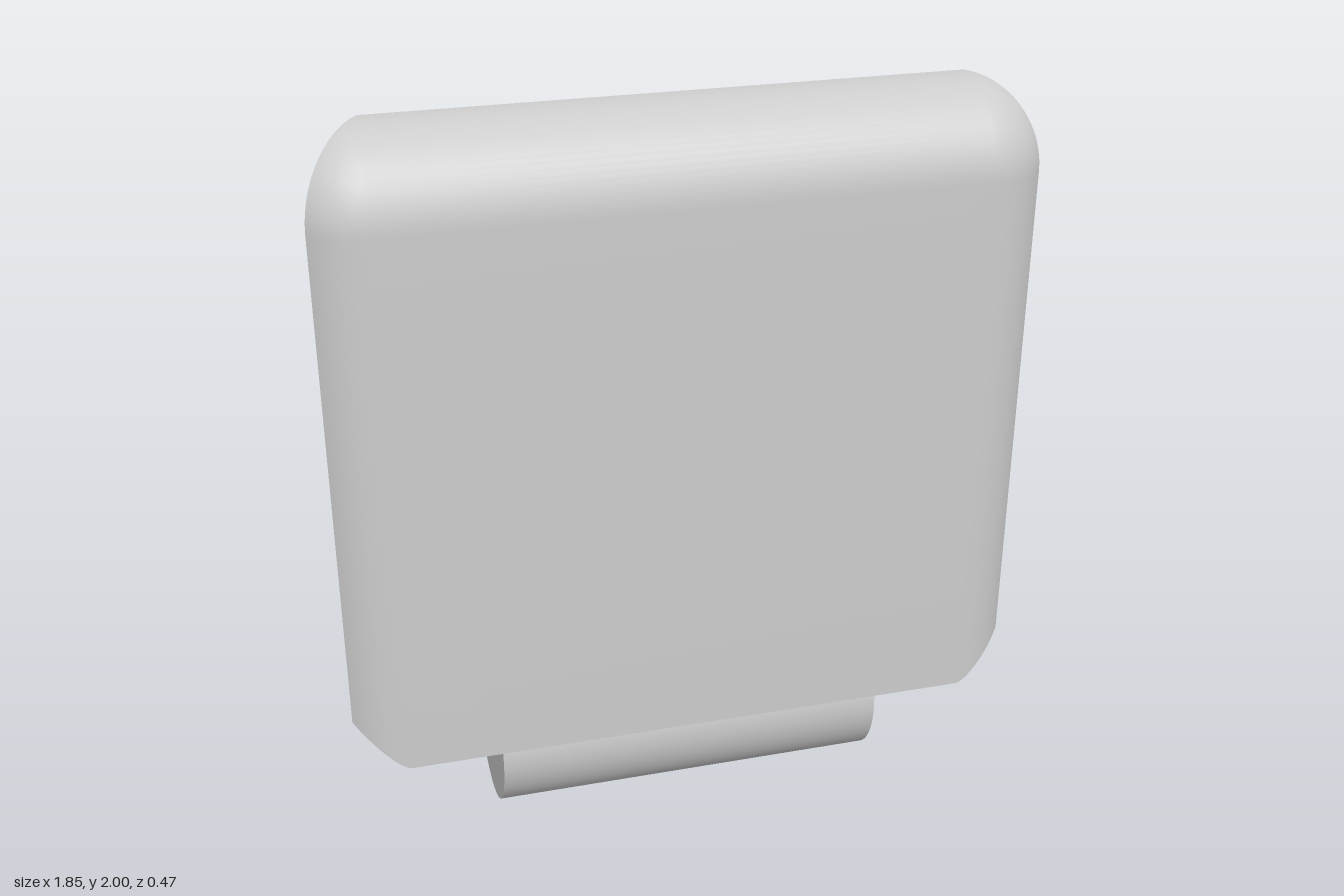
import * as THREE from 'three';
import { toCreasedNormals } from 'three/addons/utils/BufferGeometryUtils.js';

const BACK_X = 0.77, DEPTH = 0.23, SHOULDER = 1.77, TOP = 2;
const HINGE_R = 0.2325, HINGE_LENGTH = 1.07;

// Right end of the panel's plan outline: slanted flank, then rounded front edge
function endProfile() {
  const points = [];
  const flank = 12, round = 14, r = 0.194, a0 = Math.asin(0.145 / r);
  for (let i = 0; i <= flank; i++) points.push([BACK_X + 0.155 * i / flank, 0.165 * i / flank]);
  for (let i = 1; i <= round; i++) {
    const a = a0 * (1 - i / round);
    points.push([0.78 + r * Math.sin(a), DEPTH - r + r * Math.cos(a)]);
  }
  return points;
}

function panelGeometry() {
  const right = endProfile();
  const outline = [...right, ...right.map(([x, z]) => [-x, z]).reverse()];
  const n = outline.length, rows = [];

  // Bottom edge hollowed to clear the round hinge
  const hollow = (z) => HINGE_R + Math.sqrt(HINGE_R ** 2 - z * z) - 0.0005;
  rows.push(outline.map(([x, z]) => [x, hollow(z), z]));

  // Straight wall, then the outline shrinks towards the rounded top
  const steps = 20;
  for (let j = 0; j <= steps; j++) {
    const a = (j / steps) * Math.PI / 2;
    const s = j === steps ? 0 : Math.cos(a);
    const y = SHOULDER + (TOP - SHOULDER) * Math.sin(a);
    rows.push(outline.map(([x, z]) => {
      const side = Math.sign(x);
      return [side * (BACK_X + (Math.abs(x) - BACK_X) * s), y, z * s];
    }));
  }

  const index = [];
  // Walls
  for (let j = 0; j < rows.length - 1; j++) {
    for (let k = 0; k < n; k++) {
      const a = j * n + k, b = j * n + (k + 1) % n;
      index.push(b, a, a + n);
      if (j < rows.length - 2) index.push(b, a + n, b + n);
      else index.push(b, a + n, b + n);
    }
  }
  // Hollow underside, joining the two ends
  for (let i = 0; i < right.length - 1; i++) {
    const l0 = n - 1 - i, l1 = n - 2 - i;
    index.push(i, i + 1, l1, i, l1, l0);
  }

  const geometry = new THREE.BufferGeometry();
  geometry.setAttribute('position', new THREE.Float32BufferAttribute(rows.flat(2), 3));
  geometry.setIndex(index);
  return toCreasedNormals(geometry, 0.55);
}

export function createModel() {
  const group = new THREE.Group();
  group.name = 'hingedPanel';
  const material = new THREE.MeshStandardMaterial({ color: 0xcccccc });

  const panel = new THREE.Mesh(panelGeometry(), material);
  panel.name = 'panel';

  // Hinge barrel along the lower edge
  const barrel = new THREE.CylinderGeometry(HINGE_R, HINGE_R, HINGE_LENGTH, 64);
  barrel.rotateZ(Math.PI / 2);
  const hinge = new THREE.Mesh(barrel, material);
  hinge.name = 'hingeBarrel';
  hinge.position.y = HINGE_R;

  group.add(panel, hinge);
  return group;
}
